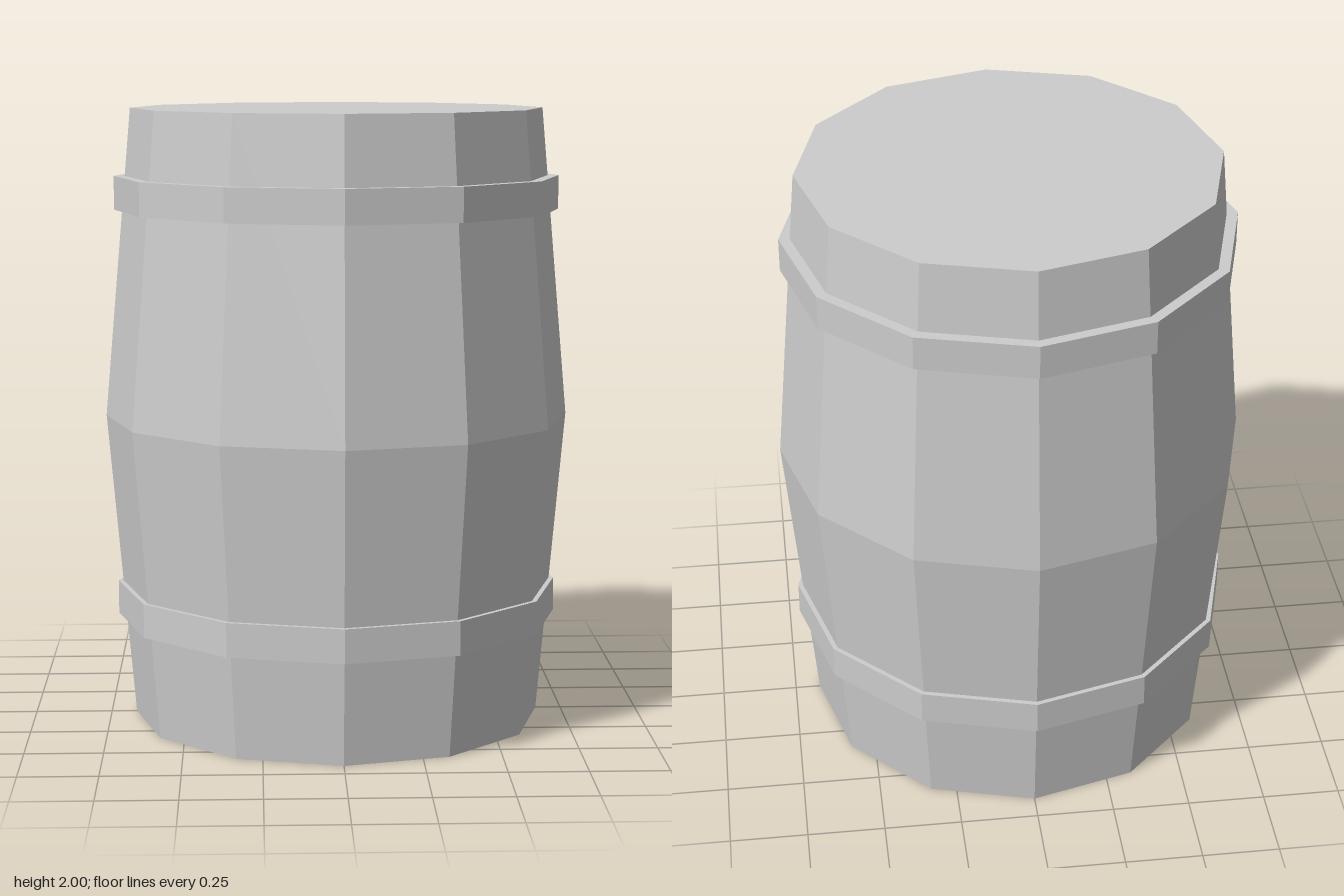
import * as THREE from 'three';

const SIDES = 12;

// Faceted lathe from [radius, y] pairs, listed from bottom to top
function facetedLathe(name, profile, material) {
  const points = profile.map(([r, y]) => new THREE.Vector2(r, y));
  const geometry = new THREE.LatheGeometry(points, SIDES).toNonIndexed();
  geometry.computeVertexNormals();
  const mesh = new THREE.Mesh(geometry, material);
  mesh.name = name;
  return mesh;
}

export function createModel() {
  const group = new THREE.Group();
  group.name = 'barrel';
  const grey = new THREE.MeshStandardMaterial({ color: 0xcccccc, flatShading: true });
  grey.name = 'light grey';

  // Bulging body with flat ends
  group.add(facetedLathe('body', [[0, 0], [0.667, 0], [0.755, 1], [0.667, 2], [0, 2]], grey));

  // Two straight-sided hoops sunk slightly into the body
  const hoops = [['lowerHoop', 0.336, 0.445], ['upperHoop', 1.672, 1.781]];
  for (const [name, bottom, top] of hoops) {
    group.add(facetedLathe(name, [[0.68, bottom], [0.722, bottom], [0.722, top], [0.68, top]], grey));
  }
  return group;
}
